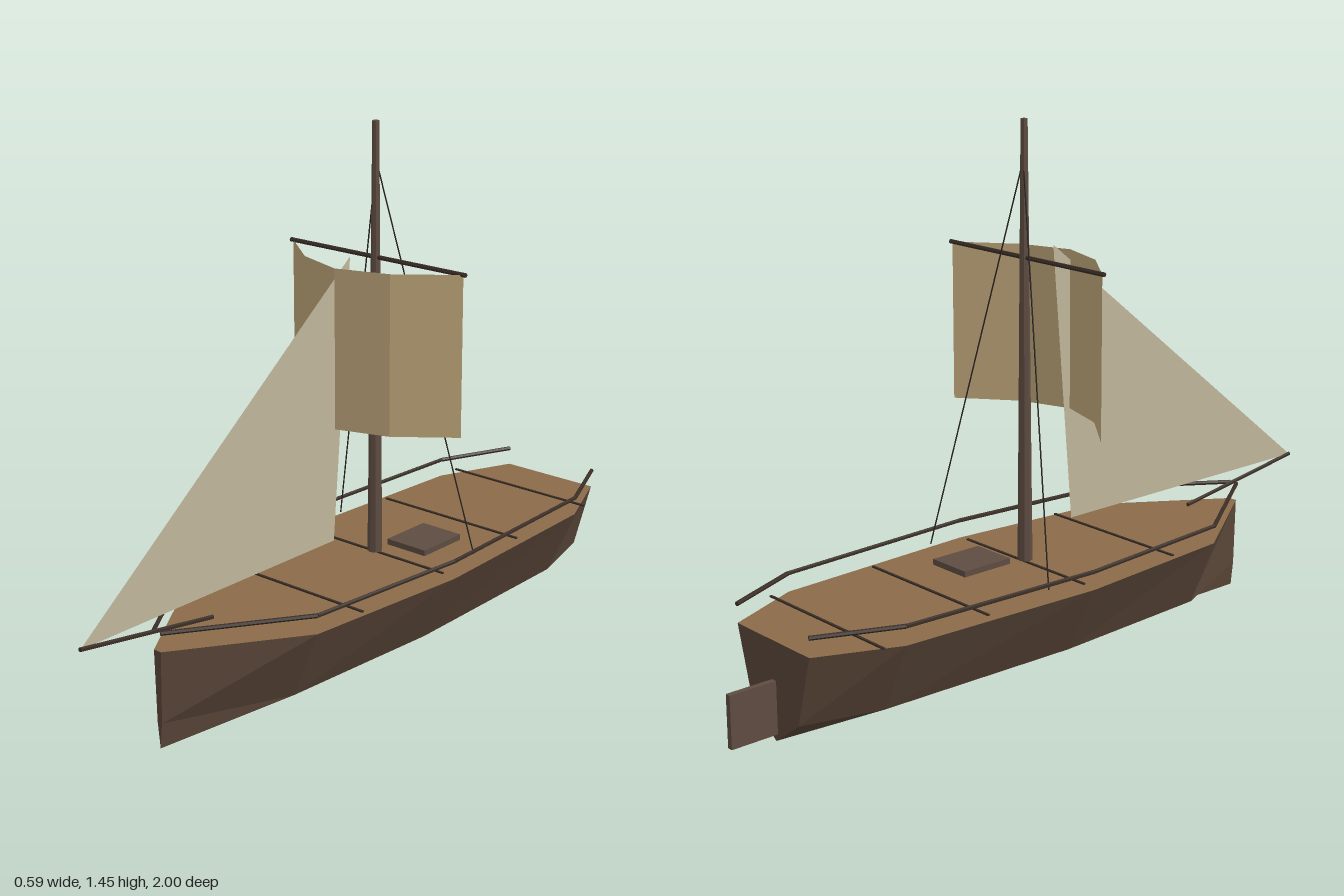
import * as THREE from 'three';

const mat = (name, color, side = THREE.FrontSide) => {
  const m = new THREE.MeshStandardMaterial({ color, side, flatShading: true });
  m.name = name;
  return m;
};

export function createModel() {
  const hullWood = mat('hull wood', 0x5a4638);
  const sparWood = mat('spar wood', 0x5e4c42);
  const deckWood = mat('deck wood', 0x8b6b4a);
  const darkWood = mat('dark wood', 0x3a2e26);
  const rope = mat('rope', 0x2a2420);
  const canvas = mat('square sail canvas', 0xbfa67a, THREE.DoubleSide);
  const jibCloth = mat('jib canvas', 0xc0b69b, THREE.DoubleSide);

  const model = new THREE.Group();
  model.name = 'sailboat';

  const add = (name, geometry, material, x = 0, y = 0, z = 0) => {
    const mesh = new THREE.Mesh(geometry, material);
    mesh.name = name;
    mesh.position.set(x, y, z);
    model.add(mesh);
    return mesh;
  };
  const surface = (points) => {
    const g = new THREE.BufferGeometry();
    g.setAttribute('position', new THREE.Float32BufferAttribute(points.flat(), 3));
    g.computeVertexNormals();
    return g;
  };
  // Round bar between two points
  const bar = (name, from, to, radius, material, sides = 6) => {
    const a = new THREE.Vector3(...from), b = new THREE.Vector3(...to);
    const dir = b.clone().sub(a);
    const mesh = add(name, new THREE.CylinderGeometry(radius, radius, dir.length(), sides), material);
    mesh.position.copy(a).add(b).multiplyScalar(0.5);
    mesh.quaternion.setFromUnitVectors(new THREE.Vector3(0, 1, 0), dir.normalize());
    return mesh;
  };

  // Hull stations from bow to stern: [z, half width at the deck]
  const stations = [[0.755, 0.012], [0.43, 0.23], [-0.06, 0.272], [-0.65, 0.243], [-0.867, 0.15]];
  const deckY = 0.263, bilgeY = 0.07;
  const sections = stations.map(([z, w]) => [
    [w, deckY, z], [w * 0.64, bilgeY, z], [0, 0, z], [-w * 0.64, bilgeY, z], [-w, deckY, z],
  ]);
  const hull = [], deck = [];
  for (let i = 0; i < sections.length - 1; i++) {
    const a = sections[i], b = sections[i + 1];
    for (let j = 0; j < 4; j++) hull.push(a[j], a[j + 1], b[j], a[j + 1], b[j + 1], b[j]);
    deck.push(a[4], a[0], b[0], a[4], b[0], b[4]);
  }
  const bow = sections[0], stern = sections[sections.length - 1];
  for (let j = 1; j < 4; j++) {
    hull.push(bow[0], bow[j + 1], bow[j]);
    hull.push(stern[0], stern[j], stern[j + 1]);
  }
  add('hull', surface(hull.flat().length ? hull : []), hullWood);
  add('deck', surface(deck), deckWood);
  add('rudder', new THREE.BoxGeometry(0.016, 0.14, 0.135), sparWood, 0, 0.09, -0.9325);

  // Deck seams and hatch
  for (const z of [-0.71, -0.385, -0.06, 0.265]) {
    add('deckSeam', new THREE.BoxGeometry(0.47, 0.004, 0.007), darkWood, 0, 0.269, z);
  }
  add('hatch', new THREE.BoxGeometry(0.13, 0.016, 0.155), sparWood, 0.065, 0.281, -0.188);

  // Rails follow the deck edge on both sides
  for (const side of [-1, 1]) {
    for (let i = 0; i < stations.length - 1; i++) {
      const [z0, w0] = stations[i], [z1, w1] = stations[i + 1];
      bar('rail', [side * w0, 0.313, z0], [side * w1, 0.313, z1], 0.006, darkWood);
    }
    bar('shroud', [0, 1.34, -0.06], [side * 0.237, 0.285, -0.187], 0.002, rope, 5);
  }

  // Mast, yard and bowsprit
  const mastZ = -0.057;
  add('mast', new THREE.CylinderGeometry(0.009, 0.02, 1.172, 8), sparWood, 0, 0.859, mastZ);
  bar('yard', [-0.296, 1.09, mastZ], [0.296, 1.09, mastZ], 0.006, darkWood);
  bar('bowsprit', [0, 0.288, 0.565], [0, 0.353, 0.998], 0.006, darkWood);

  // Square sail: a flat sheet bellied forward
  const sail = new THREE.PlaneGeometry(0.576, 0.43, 4, 1);
  const p = sail.attributes.position;
  for (let i = 0; i < p.count; i++) {
    p.setZ(i, 0.16 * Math.cos((p.getX(i) / 0.576) * Math.PI));
  }
  sail.computeVertexNormals();
  add('squareSail', sail, canvas, 0, 0.875, mastZ);

  // Triangular jib on the centre line
  add('jib', surface([[0, 0.352, 0.998], [0, 0.352, 0.11], [0, 1.11, 0.043]]), jibCloth);

  return model;
}
